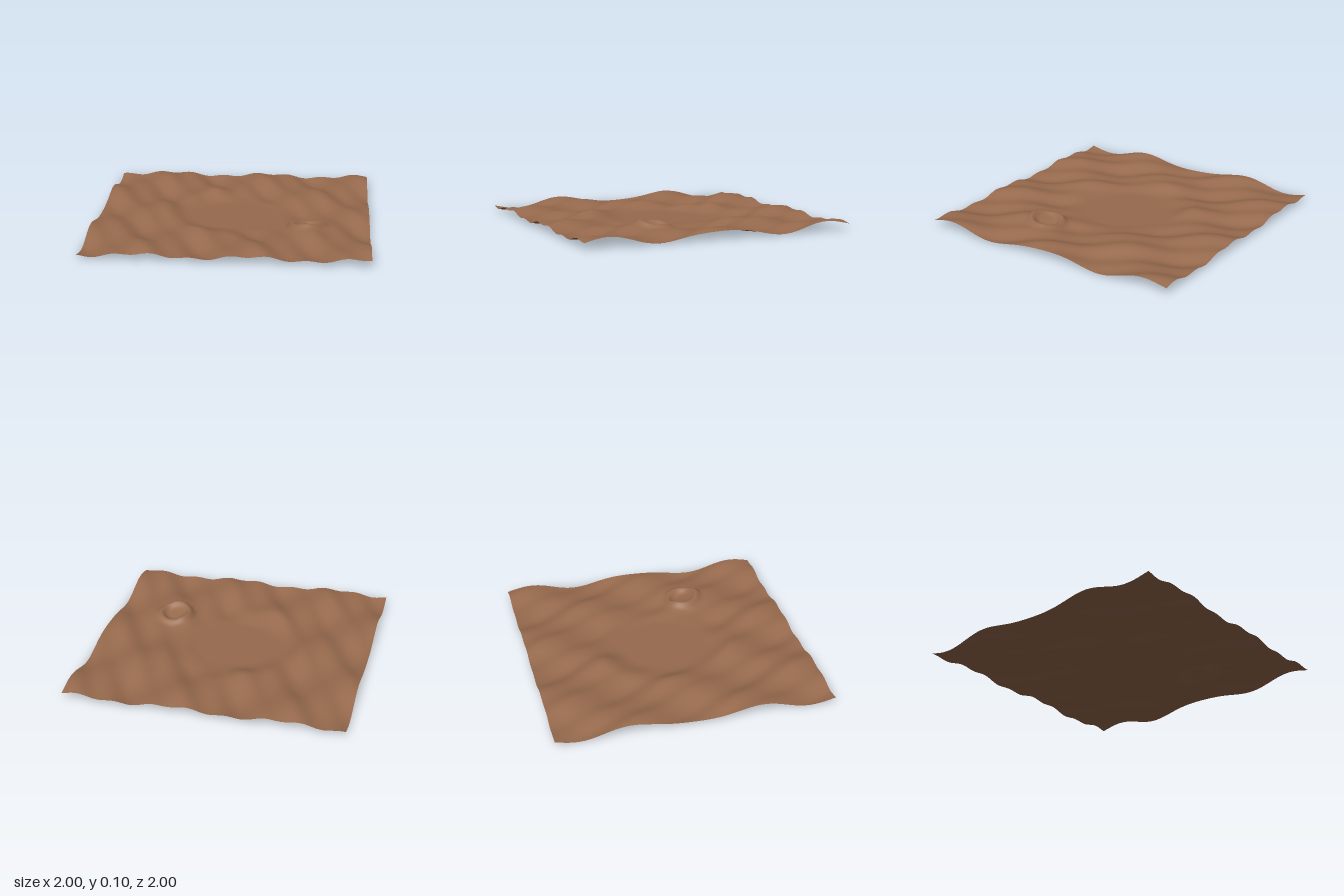
import * as THREE from 'three';

const BASIN_Y = 0.012;
const CRATER = { x: 0.55, z: 0.31, rim: 0.11 };

// Ground height: broad dunes, fine diagonal ripples, a flat central basin and a small crater
function groundHeight(x, z) {
  const dunes = 0.031 * Math.sin(8.27 * x) * Math.cos(7.4 * z);
  const ripples = 0.008 * Math.sin(23.8 * x - 11.9 * z);
  const blend = THREE.MathUtils.smoothstep(Math.hypot(x, z), 0.28, 0.55);
  let y = THREE.MathUtils.lerp(BASIN_Y, 0.04 + dunes + ripples, blend);

  // Raised rim around a shallow bowl
  const d = Math.hypot(x - CRATER.x, z - CRATER.z);
  y += 0.026 * Math.exp(-(((d - CRATER.rim) / 0.03) ** 2));
  if (d < CRATER.rim) y -= 0.014 * (1 - (d / CRATER.rim) ** 2);
  return Math.max(0, y);
}

export function createModel() {
  const soil = new THREE.MeshStandardMaterial({ color: 0x976a4d, side: THREE.DoubleSide });
  soil.name = 'brown soil';

  // Square sheet of ground, lifted by the height rule
  const geometry = new THREE.PlaneGeometry(2, 2, 160, 160).rotateX(-Math.PI / 2);
  const p = geometry.attributes.position;
  for (let i = 0; i < p.count; i++) p.setY(i, groundHeight(p.getX(i), p.getZ(i)));
  geometry.computeVertexNormals();

  const terrain = new THREE.Mesh(geometry, soil);
  terrain.name = 'terrain';

  const model = new THREE.Group();
  model.name = 'duneGround';
  model.add(terrain);
  return model;
}
